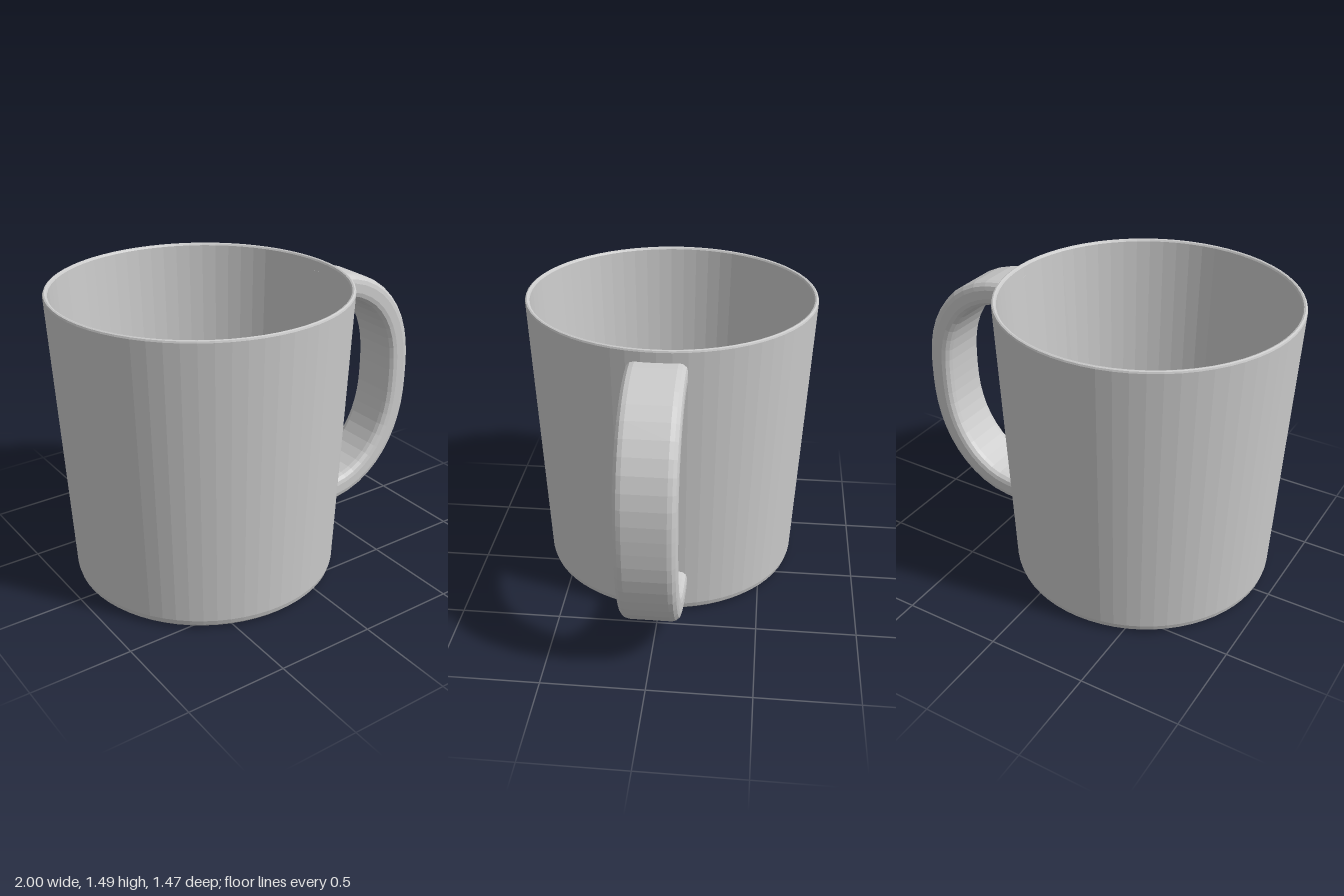
import * as THREE from 'three';

const material = new THREE.MeshStandardMaterial({ color: 0xcccccc, flatShading: true });

// Tapered cup: one closed profile from the base, over the rim, to the inner floor
function makeCup() {
  const profile = [
    [0, 0], [0.625, 0], [0.645, 0.006], [0.659, 0.02], [0.666, 0.045],
    [0.734, 1.475], [0.731, 1.483], [0.724, 1.486], [0.716, 1.483], [0.711, 1.475],
    [0.642, 0.09], [0.634, 0.062], [0.618, 0.046], [0.595, 0.04], [0, 0.04],
  ].map(([r, y]) => new THREE.Vector2(r, y));
  const cup = new THREE.Mesh(new THREE.LatheGeometry(profile, 64), material);
  cup.name = 'cup';
  cup.position.x = -0.265;
  return cup;
}

// Rounded rectangle, as loop of [across, sideways] points
function roundedSection(width, depth, radius, steps) {
  const points = [];
  for (let corner = 0; corner < 4; corner++) {
    const su = corner === 0 || corner === 3 ? 1 : -1;
    const sv = corner < 2 ? 1 : -1;
    for (let s = 0; s <= steps; s++) {
      const a = (corner + s / steps) * Math.PI / 2;
      points.push([
        su * (width / 2 - radius) + radius * Math.cos(a),
        sv * (depth / 2 - radius) + radius * Math.sin(a),
      ]);
    }
  }
  return points;
}

// Handle: section swept along a D-shaped curve, both ends buried in the cup wall
function makeHandle() {
  const path = new THREE.CatmullRomCurve3([
    [0.442, 1.36], [0.51, 1.36], [0.64, 1.33], [0.77, 1.25], [0.87, 1.12],
    [0.92, 0.97], [0.931, 0.79], [0.915, 0.6], [0.86, 0.44], [0.76, 0.305],
    [0.63, 0.22], [0.49, 0.19], [0.386, 0.19],
  ].map(([x, y]) => new THREE.Vector3(x, y, 0)));
  const section = roundedSection(0.13, 0.284, 0.042, 3);
  const rings = 26, n = section.length;
  const positions = [], index = [];
  for (let i = 0; i <= rings; i++) {
    const p = path.getPointAt(i / rings), t = path.getTangentAt(i / rings);
    for (const [u, v] of section) positions.push(p.x - t.y * u, p.y + t.x * u, v);
    if (i === rings) break;
    for (let j = 0; j < n; j++) {
      const a = i * n + j, b = i * n + (j + 1) % n;
      index.push(a, b, a + n, b, b + n, a + n);
    }
  }
  const geometry = new THREE.BufferGeometry();
  geometry.setAttribute('position', new THREE.Float32BufferAttribute(positions, 3));
  geometry.setIndex(index);
  geometry.computeVertexNormals();
  const handle = new THREE.Mesh(geometry, material);
  handle.name = 'handle';
  return handle;
}

export function createModel() {
  const mug = new THREE.Group();
  mug.name = 'mug';
  mug.add(makeCup(), makeHandle());
  return mug;
}
